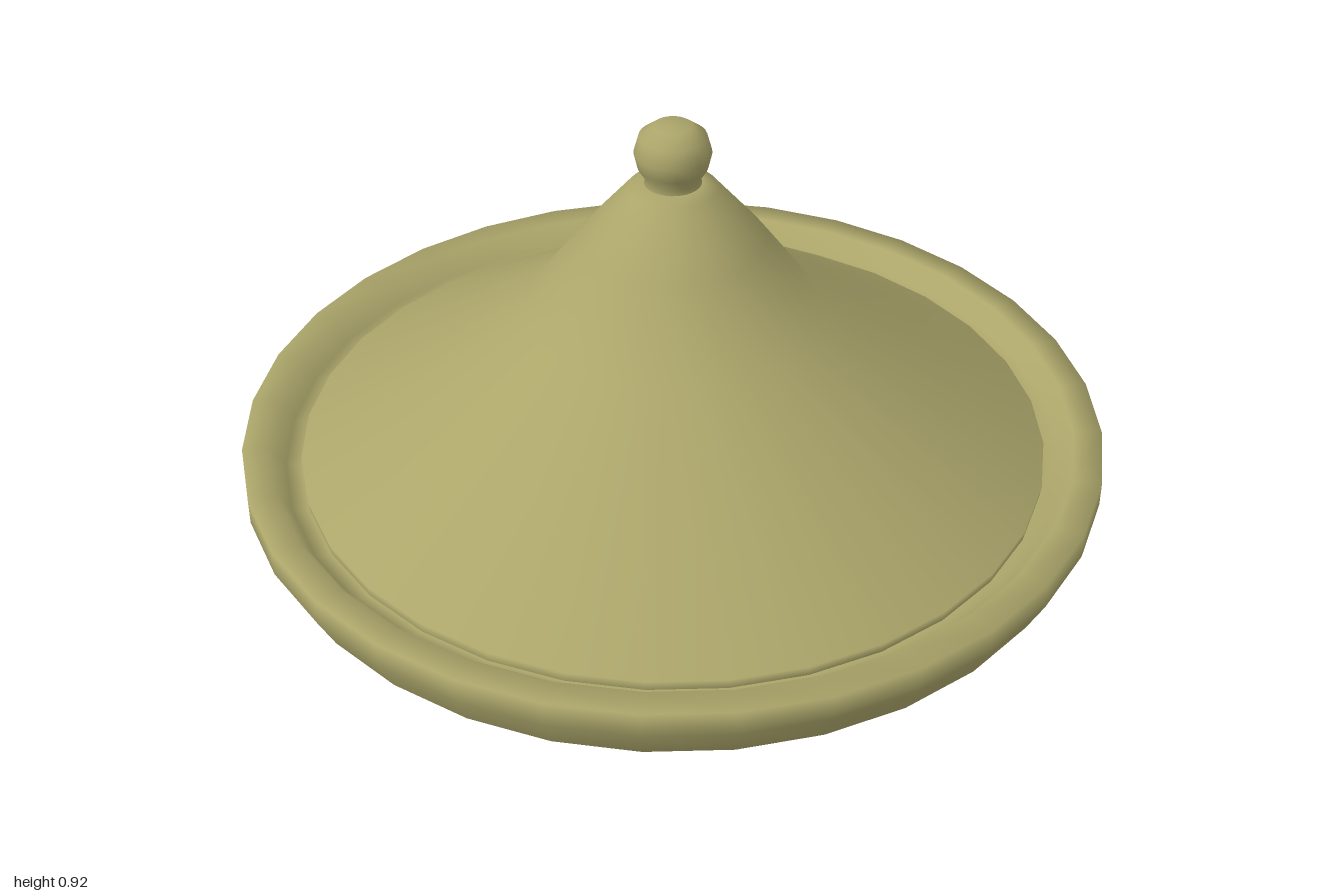
import * as THREE from 'three';

const SIDES = 32;

// Spins a [radius, height] profile, listed from the bottom up, around the y axis
function turned(name, profile, material) {
  const points = profile.map(([r, y]) => new THREE.Vector2(r, y));
  const mesh = new THREE.Mesh(new THREE.LatheGeometry(points, SIDES), material);
  mesh.name = name;
  return mesh;
}

export function createModel() {
  const group = new THREE.Group();
  group.name = 'coveredDish';
  const glaze = new THREE.MeshStandardMaterial({ color: 0xaba56a, side: THREE.DoubleSide });

  // Flat underside of the dish
  group.add(turned('dishBottom', [[0, 0], [0.96, 0]], glaze));

  // Flared outer wall, flat lip, sloping inner wall and floor
  group.add(turned('dish', [
    [0.96, 0], [1, 0.08], [1, 0.14], [0.935, 0.14],
    [0.905, 0.09], [0.87, 0.08], [0, 0.08],
  ], glaze));

  // Conical lid with a shallow skirt and a steeper crown
  group.add(turned('lid', [
    [0.865, 0.08], [0.868, 0.104], [0.34, 0.455], [0.21, 0.632],
    [0.1, 0.763], [0.065, 0.775], [0, 0.775],
  ], glaze));

  // Round knob on a narrow neck
  group.add(turned('knob', [
    [0.068, 0.765], [0.06, 0.785], [0.078, 0.815], [0.086, 0.85],
    [0.075, 0.89], [0.042, 0.915], [0, 0.915],
  ], glaze));

  return group;
}
